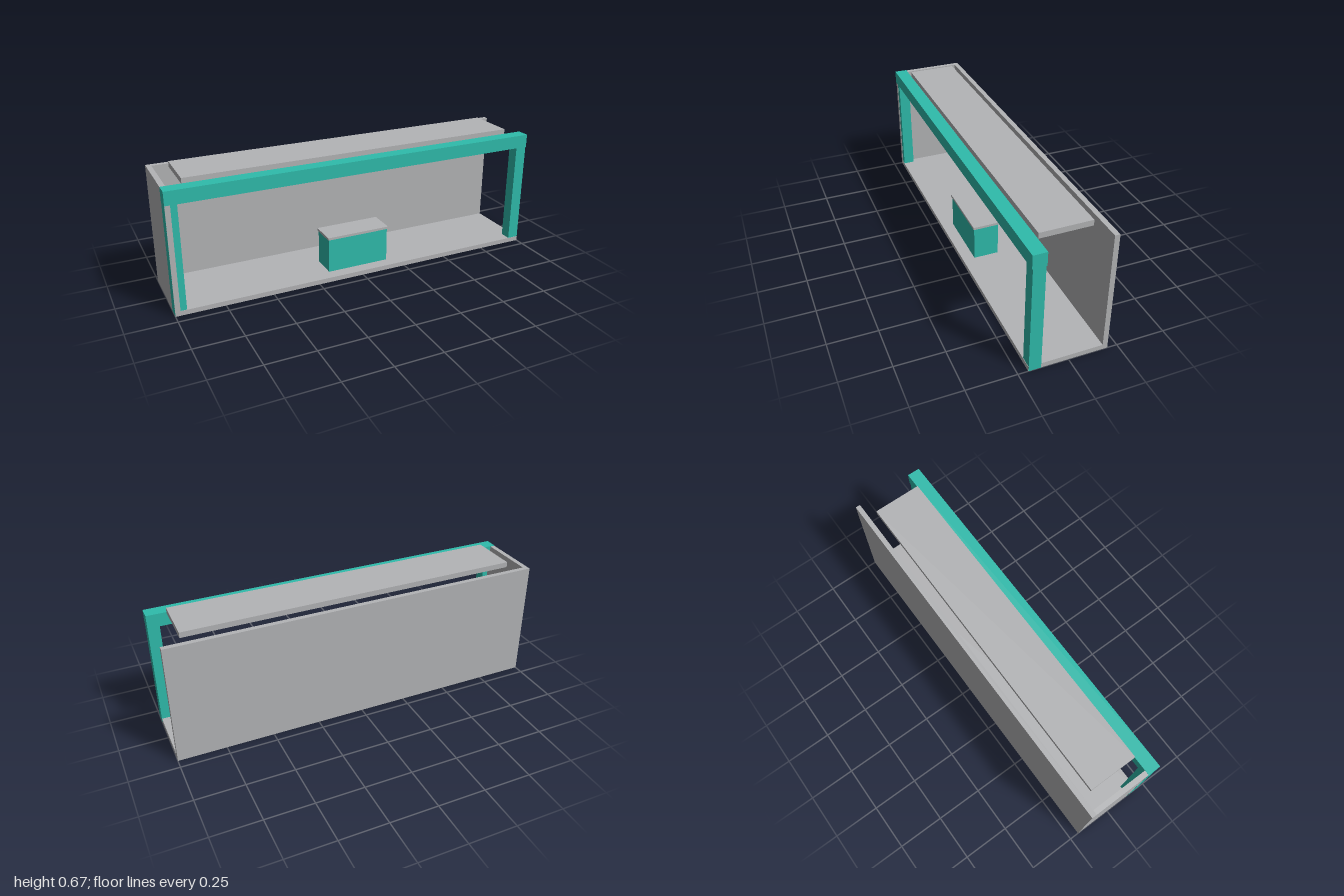
import * as THREE from 'three';

const grey = new THREE.MeshStandardMaterial({ color: 0xb3b4b6 });
grey.name = 'panelGrey';
const teal = new THREE.MeshStandardMaterial({ color: 0x2fbcac });
teal.name = 'frameTeal';

// Box given by its extents along each axis
function block(name, material, [x0, x1], [y0, y1], [z0, z1]) {
  const mesh = new THREE.Mesh(new THREE.BoxGeometry(x1 - x0, y1 - y0, z1 - z0), material);
  mesh.position.set((x0 + x1) / 2, (y0 + y1) / 2, (z0 + z1) / 2);
  mesh.name = name;
  return mesh;
}

export function createModel() {
  const group = new THREE.Group();
  group.name = 'exhibitionBooth';
  group.add(
    // Shell: floor, back wall and one end wall; the left end stays open
    block('floor', grey, [-1, 1], [0, 0.025], [-0.2, 0.2]),
    block('backWall', grey, [-1, 1], [0.025, 0.64], [-0.2, -0.174]),
    block('endWall', grey, [-1, -0.974], [0.025, 0.64], [-0.174, 0.2]),

    // Front frame, a hair proud of the shell ends
    block('leftPost', teal, [0.94, 1.0005], [-0.0005, 0.575], [0.137, 0.198]),
    block('rightPost', teal, [-1.0005, -0.942], [0.0005, 0.575], [0.137, 0.198]),
    block('frontBeam', teal, [-1.001, 1.001], [0.572, 0.642], [0.133, 0.202]),

    // Floating canopy panel
    block('canopy', grey, [-0.9, 0.9], [0.638, 0.667], [-0.13, 0.13]),

    // Reception counter
    block('counterBody', teal, [-0.17, 0.17], [0.025, 0.209], [0.003, 0.137]),
    block('counterTop', grey, [-0.175, 0.175], [0.209, 0.222], [-0.002, 0.142]),
  );
  return group;
}
